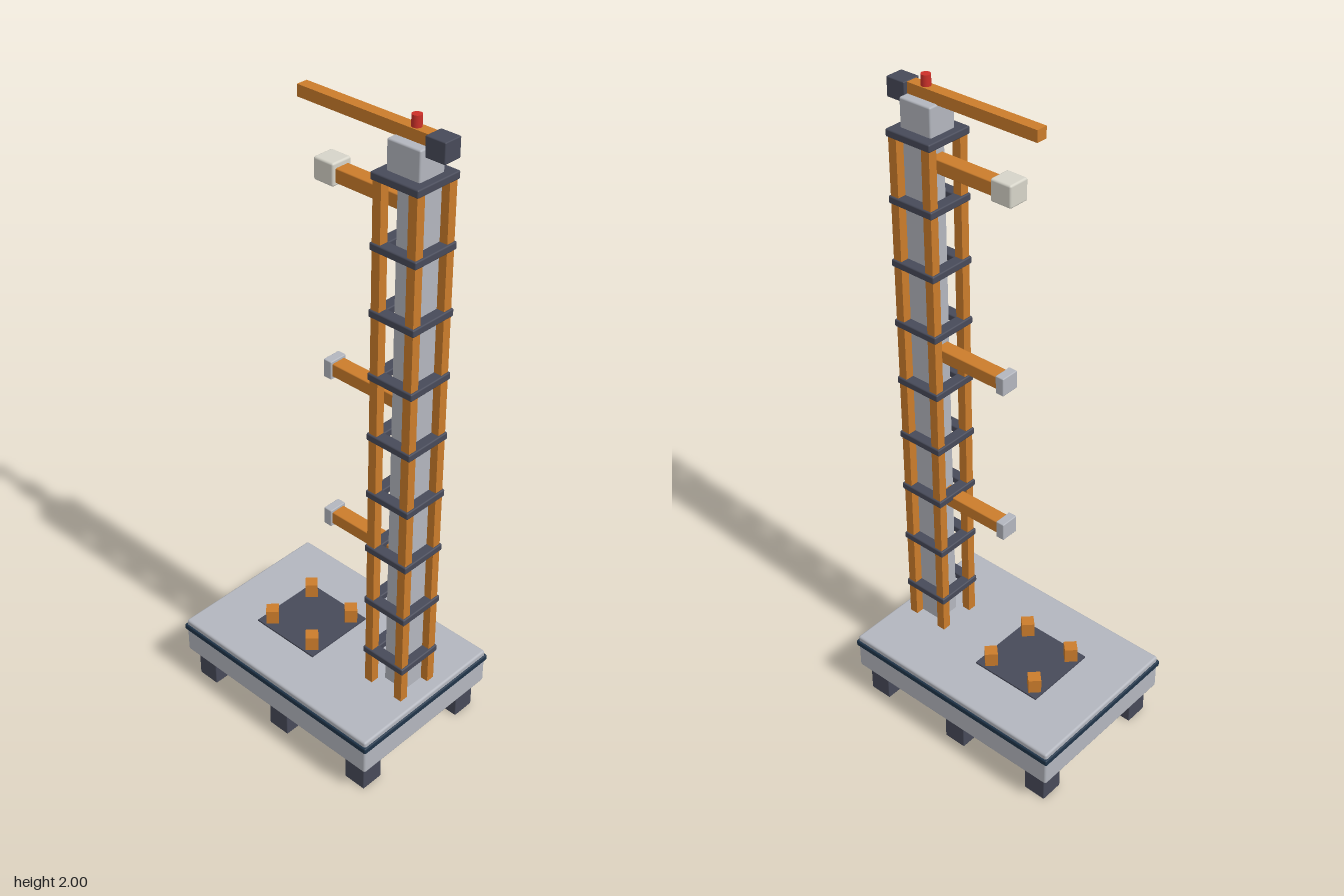
import * as THREE from 'three';
import { RoundedBoxGeometry } from 'three/addons/geometries/RoundedBoxGeometry.js';

const mat = (name, color) => {
  const m = new THREE.MeshStandardMaterial({ color });
  m.name = name;
  return m;
};

export function createModel() {
  const root = new THREE.Group();
  root.name = 'launchTower';
  const grey = mat('concrete grey', 0xb3b6be);
  const slate = mat('dark slate', 0x474a59);
  const navy = mat('navy trim', 0x1f3449);
  const orange = mat('steel orange', 0xcb7c2b);
  const cream = mat('cabin cream', 0xd6d4c9);
  const red = mat('beacon red', 0xcc3029);

  // Box from its min and max extents; a bevel radius rounds the edges
  const box = (parent, name, material, [x0, x1], [y0, y1], [z0, z1], bevel = 0) => {
    const size = [x1 - x0, y1 - y0, z1 - z0];
    const geo = bevel ? new RoundedBoxGeometry(...size, 2, bevel) : new THREE.BoxGeometry(...size);
    const mesh = new THREE.Mesh(geo, material);
    mesh.name = name;
    mesh.position.set((x0 + x1) / 2, (y0 + y1) / 2, (z0 + z1) / 2);
    parent.add(mesh);
    return mesh;
  };
  const group = (name) => {
    const g = new THREE.Group();
    g.name = name;
    root.add(g);
    return g;
  };

  // Platform with trim band and six legs
  const base = group('platform');
  box(base, 'slab', grey, [-0.375, 0.375], [0.1, 0.22], [-0.265, 0.265], 0.007);
  box(base, 'trimBand', navy, [-0.38, 0.38], [0.182, 0.203], [-0.27, 0.27], 0.005);
  for (const x of [-0.314, 0, 0.314])
    for (const z of [-0.205, 0.205])
      box(base, 'leg', slate, [x - 0.037, x + 0.037], [0, 0.105], [z - 0.037, z + 0.037], 0.003);

  // Launch pad with four hold-down stubs set diagonally
  const pad = group('launchPad');
  box(pad, 'padPlate', slate, [-0.212, 0.022], [0.215, 0.225], [-0.117, 0.117]);
  for (const x of [-0.18, -0.011])
    for (const z of [-0.085, 0.085]) {
      const stub = new THREE.Mesh(new THREE.CylinderGeometry(0.027, 0.027, 0.053, 4).toNonIndexed(), orange);
      stub.geometry.computeVertexNormals();
      stub.name = 'holdDownStub';
      stub.position.set(x, 0.2455, z);
      pad.add(stub);
    }

  // Tower: core shaft, four corner posts, collars at even spacing
  const tower = group('tower');
  const cx = 0.265;
  box(tower, 'coreShaft', grey, [0.236, 0.311], [0.215, 1.827], [-0.045, 0.029]);
  for (const sx of [-1, 1])
    for (const sz of [-1, 1]) {
      const x = cx + sx * 0.057, z = sz * 0.058;
      box(tower, 'cornerPost', orange, [x - 0.0135, x + 0.0135], [0.215, 1.84], [z - 0.0135, z + 0.0135]);
    }
  const outer = 0.076, inner = 0.041;
  for (let i = 0; i < 8; i++) {
    const y = 0.337 + i * 0.1885, ys = [y - 0.011, y + 0.011];
    for (const s of [-1, 1]) {
      const span = s < 0 ? [-outer, -inner] : [inner, outer];
      box(tower, 'collarBar', slate, [cx - outer, cx + outer], ys, span, 0.004);
      box(tower, 'collarBar', slate, span.map((v) => cx + v), ys, [-outer, outer], 0.004);
    }
  }
  box(tower, 'topCollar', slate, [cx - outer, cx + outer], [1.834, 1.856], [-outer, outer], 0.004);

  // Swing arms reaching toward the pad
  const arms = group('swingArms');
  for (const y of [0.693, 1.195, 1.77]) {
    box(arms, 'arm', orange, [0.008, 0.24], [y - 0.02, y + 0.02], [-0.023, 0.023], 0.003);
    if (y < 1.5) box(arms, 'armTip', grey, [-0.012, 0.016], [y - 0.028, y + 0.028], [-0.029, 0.029], 0.003);
  }
  box(arms, 'accessCabin', cream, [-0.041, 0.027], [1.741, 1.805], [-0.033, 0.033], 0.006);

  // Crane: turret, boom, counterweight, beacon
  const crane = group('crane');
  box(crane, 'turret', grey, [0.212, 0.318], [1.85, 1.938], [-0.045, 0.045], 0.005);
  box(crane, 'boom', orange, [-0.11, 0.33], [1.936, 1.969], [-0.017, 0.017]);
  box(crane, 'counterweight', slate, [0.315, 0.377], [1.915, 1.971], [-0.028, 0.028], 0.003);
  const beacon = new THREE.Mesh(new THREE.CylinderGeometry(0.0135, 0.0135, 0.034, 20), red);
  beacon.name = 'beacon';
  beacon.position.set(cx, 1.983, 0);
  crane.add(beacon);

  return root;
}
